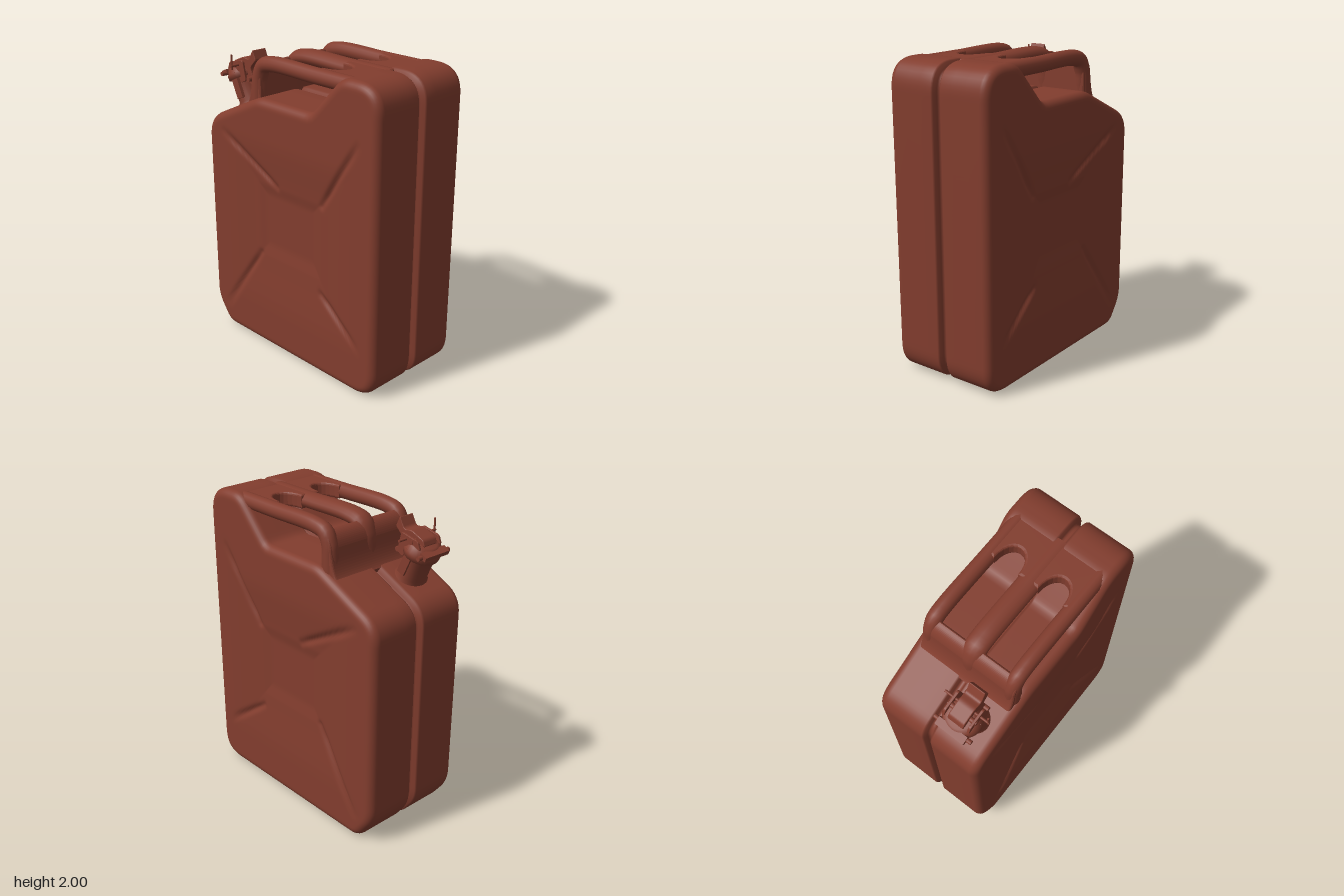
import * as THREE from 'three';

const paint = new THREE.MeshStandardMaterial({ color: 0x823d2e });
paint.name = 'red brown paint';

const V2 = (x, y) => new THREE.Vector2(x, y);
const V3 = (x, y, z) => new THREE.Vector3(x, y, z);

function add(parent, name, geometry) {
  const mesh = new THREE.Mesh(geometry, paint);
  mesh.name = name;
  parent.add(mesh);
  return mesh;
}

// Polygon with rounded corners; each corner is [x, y, radius]
function roundedPolygon(corners, Type = THREE.Shape) {
  const path = new Type();
  const n = corners.length;
  corners.forEach(([x, y, r], i) => {
    const p = V2(x, y);
    const toward = (q) => V2(q[0], q[1]).sub(p).setLength(r).add(p);
    const a = toward(corners[(i + n - 1) % n]), b = toward(corners[(i + 1) % n]);
    if (i === 0) path.moveTo(a.x, a.y); else path.lineTo(a.x, a.y);
    path.quadraticCurveTo(x, y, b.x, b.y);
  });
  path.closePath();
  return path;
}

// Shape extruded along z, centred on the given z
function slab(shape, z, depth, bevel = 0.006) {
  const g = new THREE.ExtrudeGeometry(shape, {
    depth: depth - 2 * bevel, bevelSize: bevel, bevelThickness: bevel,
    bevelOffset: -bevel, bevelSegments: 3, curveSegments: 12,
  });
  return g.translate(0, 0, z - depth / 2 + bevel);
}

const smooth = THREE.MathUtils.smoothstep;

// Pressed diagonal grooves, from outer corner to centre panel
const grooves = [
  [-0.6, 1.45, -0.11, 1.18], [0.61, 1.63, 0.3, 1.17],
  [0.62, 0.33, 0.29, 0.57], [-0.62, 0.17, -0.28, 0.67],
];

// How far the side panel is pressed in at x, y
function panelDepth(x, y) {
  const t = Math.max((-0.28 - x) / 0.4, (x - 0.28) / 0.4, (y - 1.17) / 0.4, (0.67 - y) / 0.52);
  const depth = 0.026 * (1 - smooth(t, -0.15, 0.8)) + 0.01 * (1 - smooth(t, -0.2, 0.04));
  let press = 0;
  for (const [ax, ay, bx, by] of grooves) {
    const dx = bx - ax, dy = by - ay;
    const s = THREE.MathUtils.clamp(((x - ax) * dx + (y - ay) * dy) / (dx * dx + dy * dy), 0, 1);
    const d = Math.hypot(x - ax - s * dx, y - ay - s * dy);
    const taper = smooth(s, -0.15, 0.3) * (1 - 0.4 * smooth(s, 0.8, 1));
    press = Math.max(press, 0.018 * taper * Math.exp(-((d / 0.02) ** 2)));
  }
  return depth + press;
}

// One half of the body: rings from the centre seam, round the edge, then in across the panel
function shellGeometry(side) {
  const outline = roundedPolygon([
    [-0.768, 0.175, 0.08], [-0.64, 0.003, 0.06], [0.762, 0, 0.18], [0.767, 2, 0.18],
    [0.46, 2, 0.07], [0.21, 1.735, 0.03], [-0.27, 1.735, 0.05], [-0.768, 1.505, 0.12],
  ], THREE.Path);
  const pts = outline.getSpacedPoints(240).slice(0, 240);
  const n = pts.length;
  const normals = pts.map((p, i) => {
    const d = pts[(i + 1) % n].clone().sub(pts[(i + n - 1) % n]).normalize();
    return V2(d.y, -d.x);
  });
  const profile = [[0.045, 0], [0.045, 0.01], [0.035, 0.018], [0.008, 0.026], [0, 0.038], [0, 0.12], [0, 0.22]];
  for (let k = 0; k <= 7; k++) {
    const a = (k / 7) * Math.PI / 2;
    profile.push([0.055 * (1 - Math.cos(a)), 0.318 + 0.055 * Math.sin(a)]);
  }
  const pos = [], index = [];
  for (const [inset, z] of profile) {
    pts.forEach((p, i) => pos.push(p.x - normals[i].x * inset, p.y - normals[i].y * inset, side * z));
  }
  const steps = 64;
  for (let k = 1; k <= steps; k++) {
    const f = 1 - k / steps;
    pts.forEach((p, i) => {
      const x = 0.02 + (p.x - normals[i].x * 0.055 - 0.02) * f;
      const y = 0.92 + (p.y - normals[i].y * 0.055 - 0.92) * f;
      pos.push(x, y, side * (0.373 - panelDepth(x, y) * smooth(1 - f, 0, 0.06)));
    });
  }
  const rings = profile.length + steps;
  for (let j = 0; j < rings - 1; j++) {
    for (let i = 0; i < n; i++) {
      const a = j * n + i, b = j * n + (i + 1) % n, c = b + n, d = a + n;
      if (side > 0) index.push(a, b, c, a, c, d); else index.push(a, c, b, a, d, c);
    }
  }
  const g = new THREE.BufferGeometry();
  g.setAttribute('position', new THREE.Float32BufferAttribute(pos, 3));
  g.setIndex(index);
  g.computeVertexNormals();
  return g;
}

// Three carrying bars joined by an end wall and a notched plate
function buildHandle() {
  const handle = new THREE.Group();
  handle.name = 'handle';
  const path = new THREE.CatmullRomCurve3([
    V3(0.52, 1.948, 0), V3(0.2, 1.948, 0), V3(-0.19, 1.948, 0), V3(-0.272, 1.925, 0),
    V3(-0.306, 1.86, 0), V3(-0.315, 1.77, 0), V3(-0.32, 1.66, 0),
  ]);
  for (const [z, width] of [[-0.29, 1], [0, 1.45], [0.29, 1]]) {
    const bar = add(handle, 'handleBar', new THREE.TubeGeometry(path, 48, 0.05, 16));
    bar.position.z = z;
    bar.scale.z = width;
  }
  const wall = new THREE.Shape();
  wall.moveTo(-0.268, 1.68);
  wall.lineTo(-0.268, 1.89);
  wall.quadraticCurveTo(-0.265, 1.94, -0.285, 1.945);
  wall.quadraticCurveTo(-0.335, 1.93, -0.352, 1.85);
  wall.quadraticCurveTo(-0.365, 1.71, -0.405, 1.665);
  wall.lineTo(-0.38, 1.62);
  add(handle, 'handleEndWall', slab(wall, 0, 0.66, 0.015));

  const plate = new THREE.Shape();
  plate.moveTo(0.52, -0.32);
  plate.lineTo(0.52, 0.32);
  plate.lineTo(0.2, 0.3);
  for (const z of [0.157, -0.157]) {
    plate.lineTo(0.2, z + 0.085);
    plate.bezierCurveTo(0.385, z + 0.085, 0.385, z - 0.085, 0.2, z - 0.085);
  }
  plate.lineTo(0.2, -0.3);
  const g = slab(plate, 0, 0.092, 0.015);
  add(handle, 'handlePlate', g.rotateX(Math.PI / 2).translate(0, 1.947, 0));
  return handle;
}

// Tilted neck with a hinged cap, lever and pins
function buildSpout() {
  const spout = new THREE.Group();
  spout.name = 'spout';
  const neck = new THREE.Group();
  neck.name = 'neck';
  neck.position.set(-0.525, 1.615, 0.167);
  neck.rotation.z = 0.43;
  neck.scale.z = 1.15;
  spout.add(neck);
  const profile = [[0, -0.06], [0.105, -0.06], [0.098, 0], [0.085, 0.02], [0.085, 0.17], [0.105, 0.175],
    [0.107, 0.205], [0.1, 0.215], [0.09, 0.25], [0.06, 0.262], [0, 0.265]];
  add(neck, 'neckAndCap', new THREE.LatheGeometry(profile.map((p) => V2(...p)), 28));
  for (const s of [-1, 1]) {
    add(neck, 'neckStrap', new THREE.BoxGeometry(0.055, 0.17, 0.02)).position.set(0.01, 0.13, s * 0.085);
  }

  const lever = roundedPolygon([
    [-0.67, 1.84, 0.01], [-0.655, 1.88, 0.015], [-0.56, 1.92, 0.02], [-0.505, 1.91, 0.02],
    [-0.465, 1.98, 0.01], [-0.435, 1.915, 0.012], [-0.49, 1.86, 0.02], [-0.465, 1.79, 0.015],
    [-0.475, 1.74, 0.012], [-0.535, 1.78, 0.02], [-0.56, 1.86, 0.02],
  ]);
  add(spout, 'lever', slab(lever, 0.167, 0.11));
  const arm = roundedPolygon([
    [-0.67, 1.83, 0.01], [-0.65, 1.88, 0.015], [-0.52, 1.91, 0.02], [-0.49, 1.78, 0.015],
    [-0.54, 1.76, 0.015], [-0.57, 1.84, 0.02],
  ]);
  for (const z of [0.08, 0.254]) add(spout, 'leverArm', slab(arm, z, 0.016, 0.003));

  // Pins across the cap: [x, y, radius, length]
  for (const [x, y, r, length] of [[-0.69, 1.795, 0.014, 0.26], [-0.6, 1.865, 0.016, 0.2],
    [-0.56, 1.875, 0.008, 0.31], [-0.48, 1.79, 0.016, 0.17]]) {
    const pin = add(spout, 'pin', new THREE.CylinderGeometry(r, r, length, 12));
    pin.rotation.x = Math.PI / 2;
    pin.position.set(x, y, 0.167);
  }
  add(spout, 'lockingPin', new THREE.CylinderGeometry(0.006, 0.006, 0.1, 8)).position.set(-0.56, 1.9, 0.315);
  const clip = add(spout, 'capClip', new THREE.BoxGeometry(0.05, 0.03, 0.2));
  clip.position.set(-0.7, 1.8, 0.167);
  clip.rotation.z = 0.43;
  return spout;
}

export function createModel() {
  const model = new THREE.Group();
  model.name = 'fuelCan';
  add(model, 'frontShell', shellGeometry(1));
  add(model, 'backShell', shellGeometry(-1));
  model.add(buildHandle(), buildSpout());
  return model;
}
